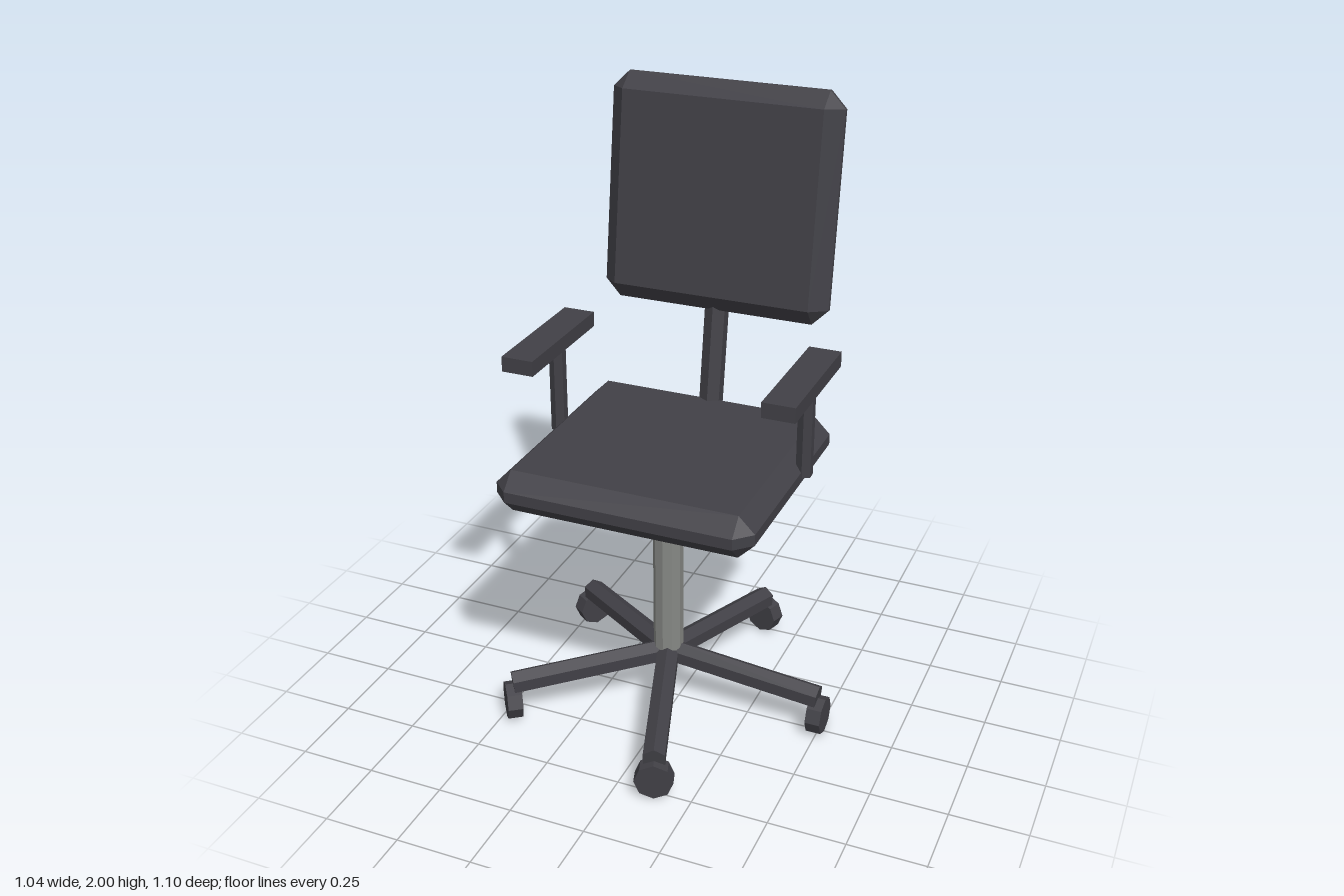
import * as THREE from 'three';
import { ConvexGeometry } from 'three/addons/geometries/ConvexGeometry.js';

const CX = -0.037; // the column sits slightly off centre because of the five-leg base

const make = (name, color) => {
  const m = new THREE.MeshStandardMaterial({ color, flatShading: true });
  m.name = name;
  return m;
};

// Box with every edge cut by a single flat bevel
function bevelBox(w, h, d, b) {
  const pts = [];
  for (const sx of [-1, 1]) for (const sy of [-1, 1]) for (const sz of [-1, 1]) {
    for (let axis = 0; axis < 3; axis++) {
      const half = [w / 2 - b, h / 2 - b, d / 2 - b];
      half[axis] += b;
      pts.push(new THREE.Vector3(sx * half[0], sy * half[1], sz * half[2]));
    }
  }
  return new ConvexGeometry(pts);
}

export function createModel() {
  const charcoal = make('charcoal', 0x414046);
  const steel = make('steel', 0x868884);
  const chair = new THREE.Group();
  chair.name = 'officeChair';

  const add = (parent, name, geometry, material, x, y, z) => {
    const mesh = new THREE.Mesh(geometry, material);
    mesh.name = name;
    mesh.position.set(x, y, z);
    parent.add(mesh);
    return mesh;
  };

  // Seat and tilted backrest
  add(chair, 'seat', bevelBox(0.846, 0.14, 0.81, 0.052), charcoal, CX, 0.89, 0);
  const back = add(chair, 'backrest', bevelBox(0.776, 0.739, 0.12, 0.053), charcoal, CX, 1.632, -0.443);
  back.rotation.x = -0.136;
  const bar = add(chair, 'backSupport', new THREE.CylinderGeometry(0.04, 0.04, 0.42, 6), charcoal, CX, 1.112, -0.393);
  bar.rotation.x = -0.14;

  // Armrests
  for (const side of [-1, 1]) {
    const x = CX + side * 0.425;
    const label = side > 0 ? 'left' : 'right';
    add(chair, label + 'ArmPad', new THREE.BoxGeometry(0.106, 0.05, 0.44), charcoal, x, 1.225, -0.035);
    add(chair, label + 'ArmPost', new THREE.CylinderGeometry(0.0275, 0.0275, 0.32, 6), charcoal, x, 1.05, -0.087);
  }

  // Column
  add(chair, 'column', new THREE.CylinderGeometry(0.05, 0.05, 0.62, 10), steel, CX, 0.5, 0);

  // Five sloping legs, each ending in a caster
  const legGeometry = new THREE.CylinderGeometry(0.04, 0.04, 0.535, 6).rotateY(Math.PI / 2).rotateZ(-Math.PI / 2);
  const casterGeometry = new THREE.CylinderGeometry(0.0625, 0.0625, 0.05, 8).rotateZ(-Math.PI / 2);
  for (let i = 0; i < 5; i++) {
    const arm = new THREE.Group();
    arm.name = 'baseLeg' + (i + 1);
    arm.position.x = CX;
    arm.rotation.y = -i * Math.PI * 2 / 5;
    const leg = add(arm, 'leg', legGeometry, charcoal, 0.265, 0.155, 0);
    leg.rotation.z = -0.094;
    add(arm, 'caster', casterGeometry, charcoal, 0.532, 0.0625, 0);
    chair.add(arm);
  }

  return chair;
}
